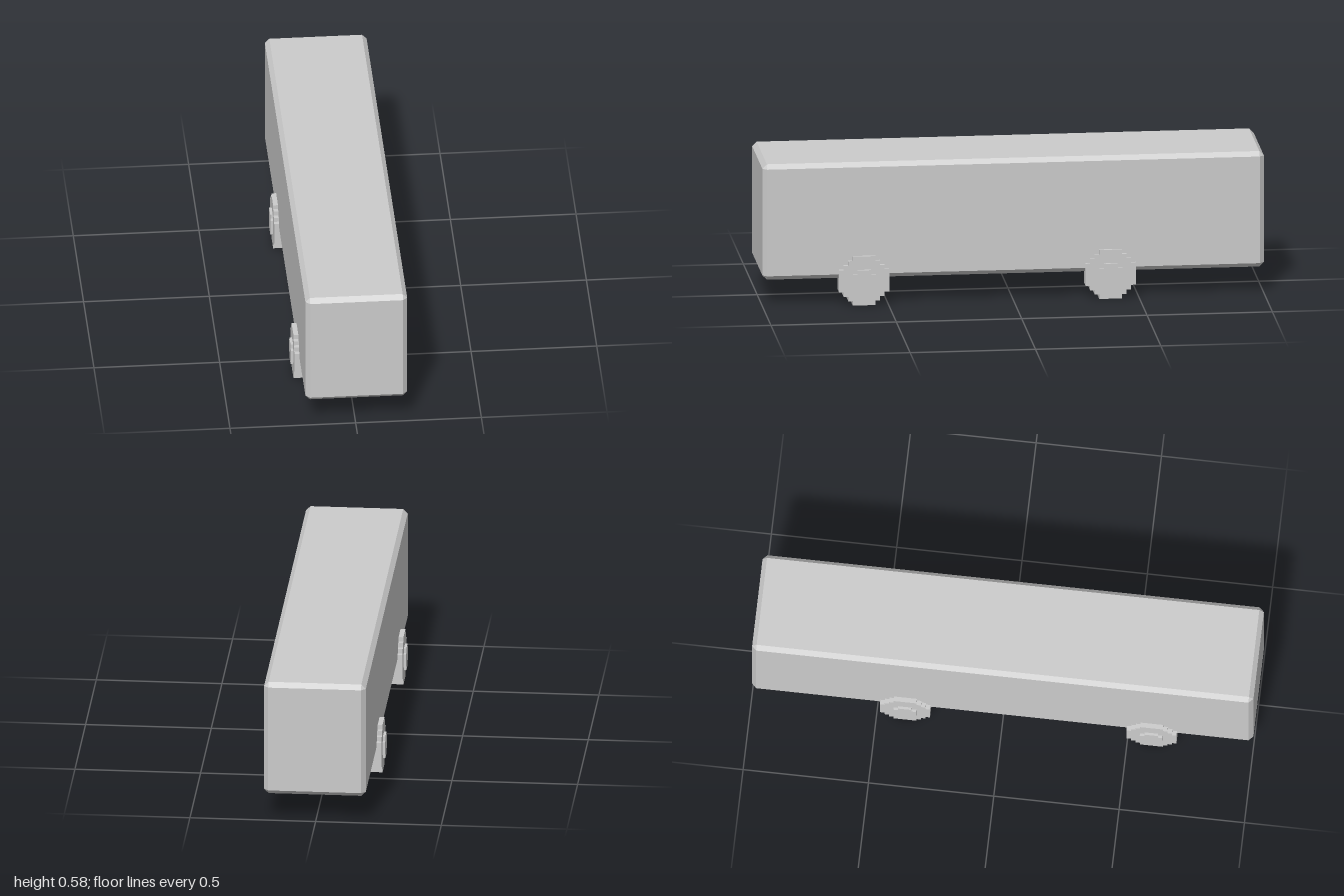
import * as THREE from 'three';
import { ConvexGeometry } from 'three/addons/geometries/ConvexGeometry.js';

const CELL = 0.2 / 11; // step size of the blocky wheels

// Box with flat chamfers on every edge and triangular corners
function chamferedBox(w, h, d, c) {
  const points = [];
  for (const sx of [-1, 1]) for (const sy of [-1, 1]) for (const sz of [-1, 1]) {
    for (let axis = 0; axis < 3; axis++) {
      const half = [w / 2, h / 2, d / 2].map((v, i) => (i === axis ? v : v - c));
      points.push(new THREE.Vector3(sx * half[0], sy * half[1], sz * half[2]));
    }
  }
  return new ConvexGeometry(points);
}

// Stepped disc from row widths (in cells, bottom to top), spanning x0..x1
function steppedDisc(rows, x0, x1) {
  const right = [];
  rows.forEach((n, i) => {
    const y = (i - rows.length / 2) * CELL;
    if (n !== rows[i - 1]) right.push([n / 2 * CELL, y]);
    if (n !== rows[i + 1]) right.push([n / 2 * CELL, y + CELL]);
  });
  const left = right.map(([x, y]) => [-x, y]).reverse();
  const shape = new THREE.Shape([...right, ...left].map(p => new THREE.Vector2(...p)));
  const geo = new THREE.ExtrudeGeometry(shape, { depth: x1 - x0, bevelEnabled: false });
  return geo.rotateY(Math.PI / 2).translate(x0, 0, 0);
}

export function createModel() {
  const model = new THREE.Group();
  model.name = 'bus';
  const grey = new THREE.MeshStandardMaterial({ color: 0xcccccc, flatShading: true });

  const add = (parent, name, geo) => {
    const mesh = new THREE.Mesh(geo, grey);
    mesh.name = name;
    parent.add(mesh);
    return mesh;
  };

  // Long chamfered body
  add(model, 'body', chamferedBox(0.405, 0.472, 2, 0.018)).position.set(0.004, 0.344, 0);

  // Four stepped wheels with raised hubs
  const tyreGeo = steppedDisc([5, 7, 9, 11, 11, 11, 11, 11, 9, 7, 5], 0.158, 0.218);
  const hubGeo = steppedDisc([3, 5, 5, 5, 3], 0.2, 0.228);
  for (const [end, z] of [['front', 0.597], ['rear', -0.386]]) {
    for (const [side, turn] of [['Left', 0], ['Right', Math.PI]]) {
      const wheel = new THREE.Group();
      wheel.name = `${end}${side}Wheel`;
      wheel.position.set(0, 0.1, z);
      wheel.rotation.y = turn;
      add(wheel, 'tyre', tyreGeo);
      add(wheel, 'hub', hubGeo);
      model.add(wheel);
    }
  }
  return model;
}
